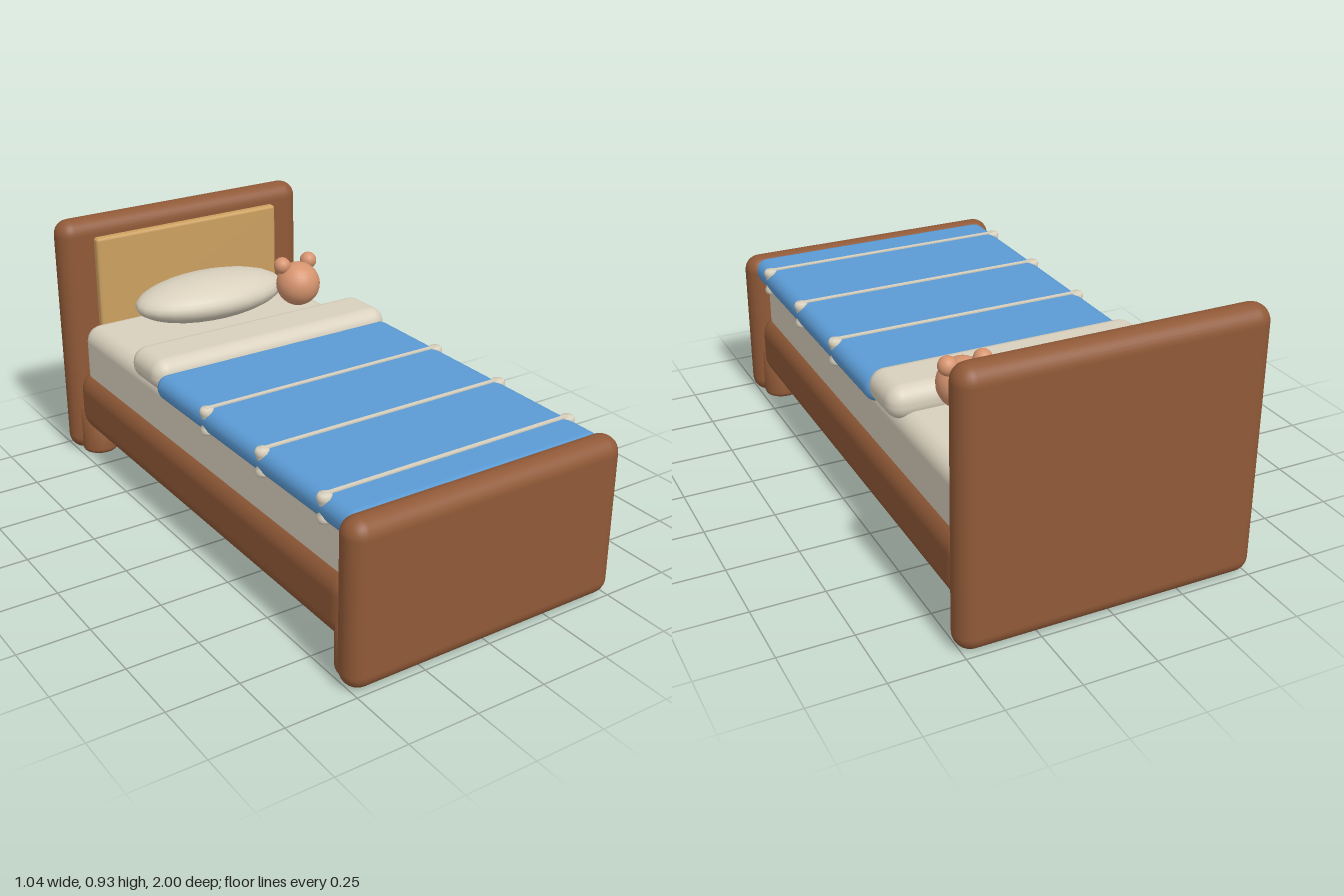
import * as THREE from 'three';
import { RoundedBoxGeometry } from 'three/addons/geometries/RoundedBoxGeometry.js';

const mat = (name, color) => {
  const m = new THREE.MeshStandardMaterial({ color });
  m.name = name;
  return m;
};

export function createModel() {
  const bed = new THREE.Group();
  bed.name = 'bed';

  const wood = mat('brown wood', 0x905937);
  const panelWood = mat('light wood', 0xcca060);
  const linen = mat('cream linen', 0xd9d0bd);
  const blue = mat('blue blanket', 0x5b9bd5);
  const plush = mat('plush', 0xd6946f);

  const add = (name, geometry, material, x = 0, y = 0, z = 0, parent = bed) => {
    const mesh = new THREE.Mesh(geometry, material);
    mesh.name = name;
    mesh.position.set(x, y, z);
    parent.add(mesh);
    return mesh;
  };

  // rounded box given by its half width and its y and z ranges
  const slab = (name, material, halfX, [y0, y1], [z0, z1], radius, segments = 4) =>
    add(name, new RoundedBoxGeometry(halfX * 2, y1 - y0, z1 - z0, segments, radius),
      material, 0, (y0 + y1) / 2, (z0 + z1) / 2);

  // frame
  slab('headboard', wood, 0.518, [0, 0.933], [-1, -0.885], 0.057);
  slab('footboard', wood, 0.518, [0, 0.572], [0.885, 1], 0.057);
  slab('headboardPanel', panelWood, 0.39, [0.48, 0.865], [-0.9, -0.858], 0.012, 2);
  slab('bedBase', wood, 0.49, [0.1, 0.35], [-0.92, 0.92], 0.08);

  // short round feet with softened lower edges
  const footProfile = [[0, 0], [0.05, 0], [0.064, 0.006], [0.07, 0.02], [0.07, 0.18], [0, 0.18]]
    .map(([r, y]) => new THREE.Vector2(r, y));
  const footGeometry = new THREE.LatheGeometry(footProfile, 20);
  for (const x of [-0.42, 0.42]) {
    for (const z of [-0.885, 0.885]) add('foot', footGeometry, wood, x, 0, z);
  }

  // bedding
  slab('mattress', linen, 0.46, [0.27, 0.53], [-0.895, 0.895], 0.06);
  slab('blanket', blue, 0.488, [0.475, 0.568], [-0.255, 0.94], 0.045);
  slab('foldedSheet', linen, 0.488, [0.493, 0.61], [-0.44, -0.218], 0.055);
  add('pillow', new THREE.SphereGeometry(1, 24, 16), linen, 0, 0.615, -0.71)
    .scale.set(0.31, 0.083, 0.165);

  // blanket bands: a thin strip across the top and a pinched knot on each side
  const knotProfile = [[0, 0.476], [0.02, 0.478], [0.026, 0.488], [0.023, 0.5], [0.018, 0.512],
    [0.018, 0.534], [0.023, 0.548], [0.026, 0.56], [0.02, 0.571], [0, 0.573]]
    .map(([r, y]) => new THREE.Vector2(r, y));
  const knotGeometry = new THREE.LatheGeometry(knotProfile, 16);
  for (const z of [0.092, 0.437, 0.78]) {
    const band = new THREE.Group();
    band.name = 'blanketBand';
    band.position.z = z;
    bed.add(band);
    add('bandStrip', new THREE.BoxGeometry(0.94, 0.009, 0.016), linen, 0, 0.568, 0, band);
    for (const side of [-1, 1]) add('bandKnot', knotGeometry, linen, side * 0.469, 0, 0, band);
  }

  // toy bear
  const bear = new THREE.Group();
  bear.name = 'toyBear';
  bear.position.set(0.292, 0.653, -0.54);
  bed.add(bear);
  add('bearHead', new THREE.SphereGeometry(0.084, 24, 16), plush, 0, 0, 0, bear);
  for (const side of [-1, 1]) {
    add('bearEar', new THREE.SphereGeometry(0.032, 16, 12), plush, side * 0.059, 0.077, -0.02, bear);
  }

  return bed;
}
